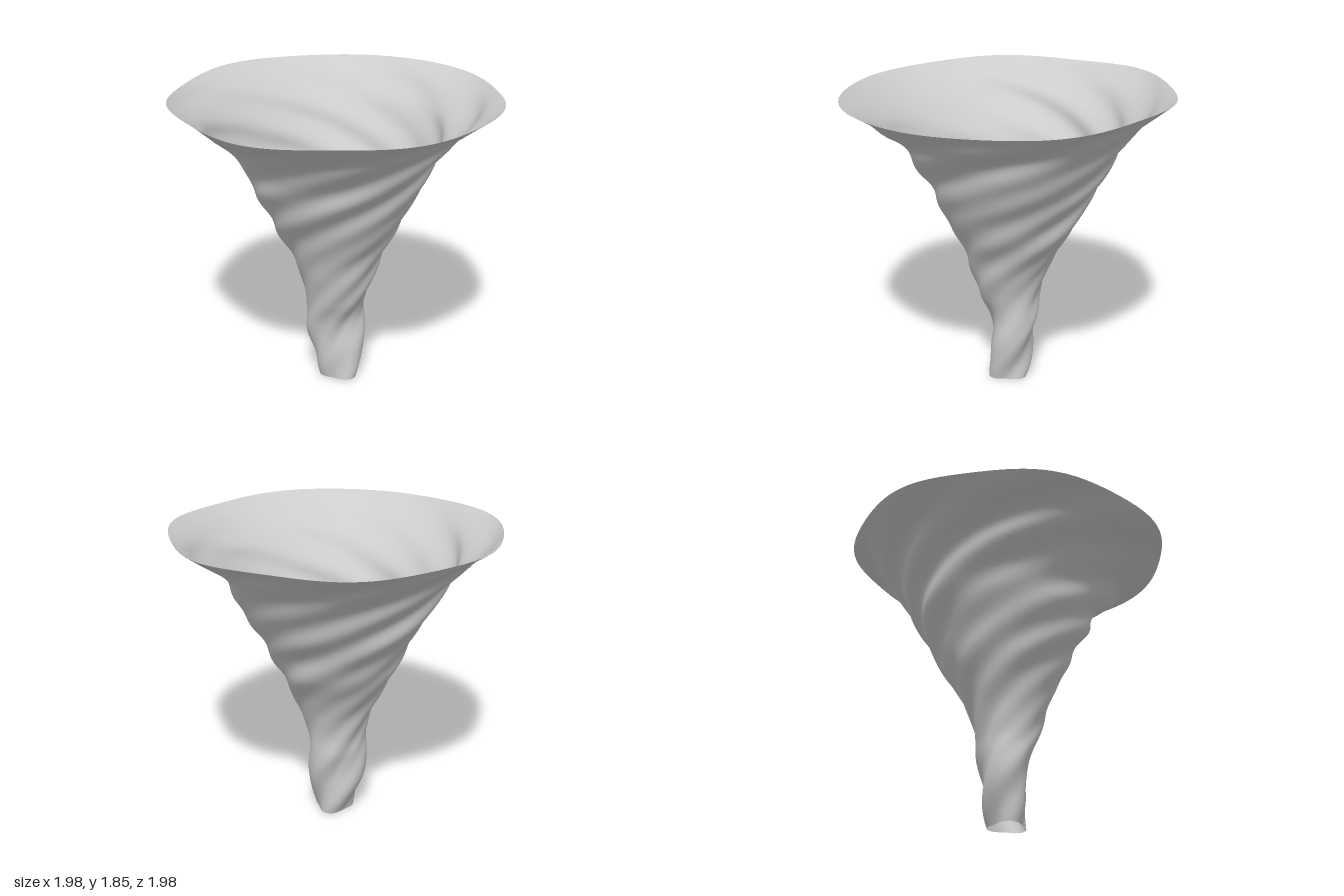
import * as THREE from 'three';
import { mergeVertices } from 'three/addons/utils/BufferGeometryUtils.js';

// height, mean radius, axis drift in x, axis drift in z
const SECTIONS = [
  [0, 0.11, 0.025, 0], [0.2, 0.145, 0.015, -0.022], [0.4, 0.162, 0.005, -0.033],
  [0.55, 0.187, 0.005, -0.01], [0.7, 0.23, 0.01, -0.005], [0.85, 0.29, 0.01, -0.02],
  [1.0, 0.37, 0.015, -0.03], [1.15, 0.442, 0.012, -0.025], [1.3, 0.525, 0.015, -0.035],
  [1.45, 0.6, 0.02, -0.035], [1.6, 0.705, 0.005, -0.025], [1.7, 0.81, 0.01, -0.015],
  [1.77, 0.9, 0, -0.01], [1.83, 0.988, 0.003, 0],
];
const ROWS = 110;
const SEGMENTS = 144;
const TWIST = 4; // radians of swirl per unit of height

const bump = (x, centre, width) => Math.exp(-(((x - centre) / width) ** 2));

// Relative radius of the swirling folds at an angle and height
function folds(phi, y) {
  const a = phi - TWIST * y;
  const rim = THREE.MathUtils.smoothstep(y, 1.55, 1.83);
  const ripples = 0.019 * Math.cos(7 * a + 0.6) + 0.015 * Math.cos(5 * a + 2.1) + 0.012 * Math.cos(3 * a - 1);
  const corners = 0.009 * rim * Math.cos(7 * (phi + 0.8 - TWIST * (y - 1.83)));
  const mouth = 0.15 * bump(y, 0, 0.16) * Math.cos(3 * (a - 0.35));
  const flat = -0.2 * bump(y, 0.32, 0.18) * Math.cos(2 * (phi - 3 * (y - 0.35)));
  return 1 + ripples * (1 - 0.9 * rim) * THREE.MathUtils.smoothstep(y, -0.1, 0.5) + corners + mouth + flat;
}

export function createModel() {
  const group = new THREE.Group();
  group.name = 'whirlwind';

  const profile = new THREE.SplineCurve(SECTIONS.map(([y, r]) => new THREE.Vector2(r, y)));
  const axis = new THREE.SplineCurve(SECTIONS.map(([, , x, z]) => new THREE.Vector2(x, z)));

  // Open funnel, folded by a twisting rule and shifted along its drifting axis
  const points = profile.getPoints(ROWS);
  const drift = axis.getPoints(ROWS);
  let geometry = new THREE.LatheGeometry(points, SEGMENTS);
  const pos = geometry.attributes.position;
  for (let i = 0; i <= SEGMENTS; i++) {
    const phi = ((i % SEGMENTS) / SEGMENTS) * Math.PI * 2;
    for (let j = 0; j <= ROWS; j++) {
      const { x: radius, y } = points[j];
      const r = radius * folds(phi, y);
      const rim = THREE.MathUtils.smoothstep(y, 1.5, 1.83);
      const wave = rim * (-0.014 * Math.cos(phi) + 0.005 * Math.sin(phi) + 0.006 * Math.cos(5 * phi + 1.2));
      pos.setXYZ(i * (ROWS + 1) + j, drift[j].x + r * Math.sin(phi), y + wave, drift[j].y + r * Math.cos(phi));
    }
  }

  // Weld the seam so the shading stays smooth all round
  geometry.deleteAttribute('uv');
  geometry.deleteAttribute('normal');
  geometry = mergeVertices(geometry, 1e-5);
  geometry.computeVertexNormals();

  const funnel = new THREE.Mesh(
    geometry,
    new THREE.MeshStandardMaterial({ color: 0xcccccc, side: THREE.DoubleSide }),
  );
  funnel.name = 'funnel';
  group.add(funnel);
  return group;
}
